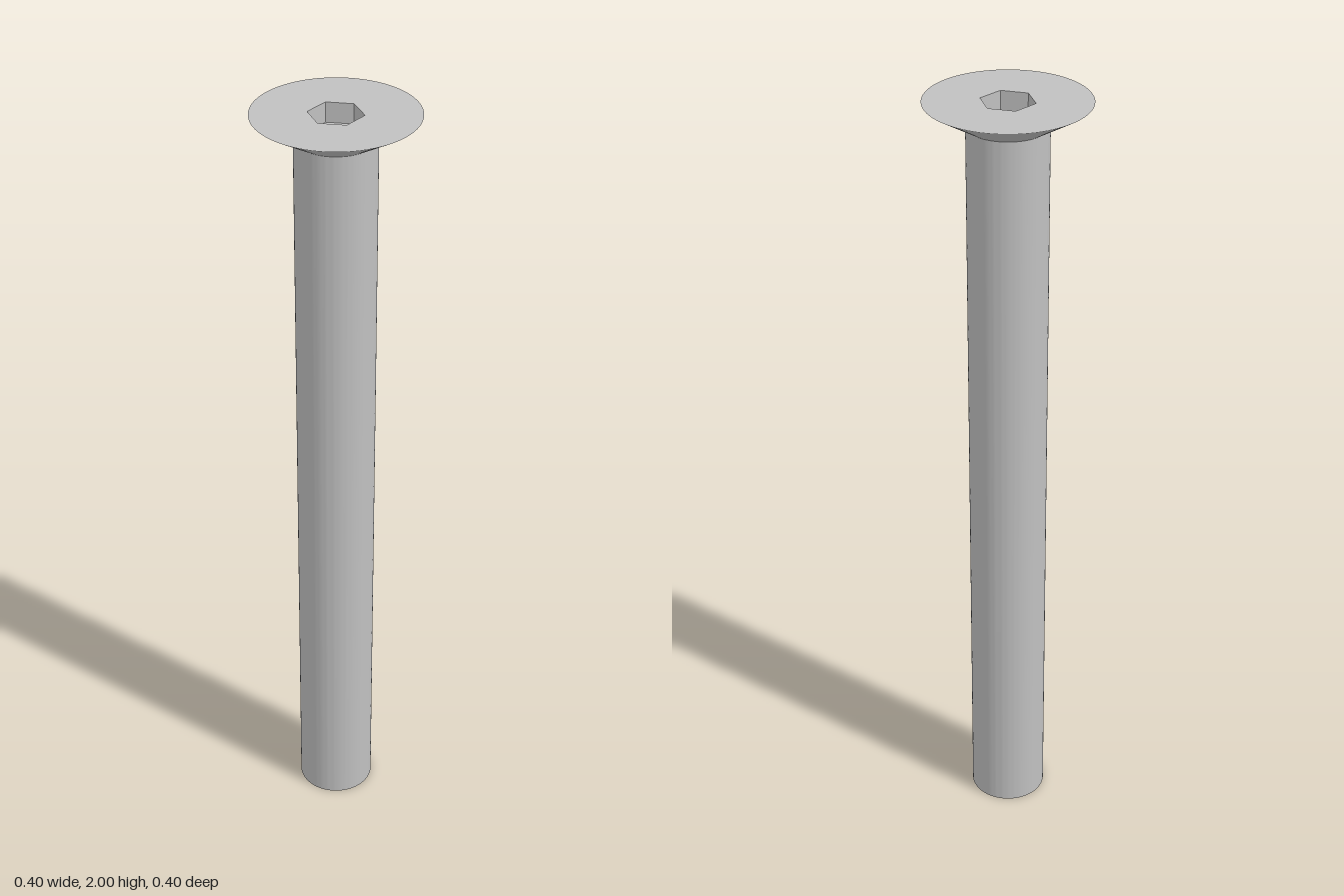
import * as THREE from 'three';
import { toCreasedNormals } from 'three/addons/utils/BufferGeometryUtils.js';

const HEIGHT = 2, HEAD_BASE = 1.94;
const SHAFT_R = 0.098, HEAD_R = 0.198;
const SOCKET_R = 0.066, SOCKET_DEPTH = 0.05;

export function createModel() {
  const group = new THREE.Group();
  group.name = 'countersunkBolt';
  const steel = new THREE.MeshStandardMaterial({ color: 0xc0c0c0 });
  steel.name = 'steel grey';

  const add = (name, geometry) => {
    const mesh = new THREE.Mesh(geometry, steel);
    mesh.name = name;
    group.add(mesh);
  };

  // Revolve [radius, y] pairs, keeping sharp edges
  const revolve = (profile, sides, start = 0) => toCreasedNormals(
    new THREE.LatheGeometry(profile.map(([r, y]) => new THREE.Vector2(r, y)), sides, start), 0.4);

  // Plain shaft with its flat end
  add('shaft', revolve([[0, 0], [SHAFT_R, 0], [SHAFT_R, HEAD_BASE]], 96));

  // Conical underside of the head
  add('headCone', revolve([[SHAFT_R, HEAD_BASE], [HEAD_R, HEIGHT]], 96));

  // Flat head face with a hexagonal opening
  const face = new THREE.Shape().absarc(0, 0, HEAD_R, 0, Math.PI * 2, false);
  const corners = Array.from({ length: 6 }, (_, i) => new THREE.Vector2(
    SOCKET_R * Math.cos(i * Math.PI / 3), SOCKET_R * Math.sin(i * Math.PI / 3)));
  face.holes.push(new THREE.Path(corners));
  add('headFace', new THREE.ShapeGeometry(face, 48).rotateX(-Math.PI / 2).translate(0, HEIGHT, 0));

  // Socket walls and floor, facing inward
  const floor = HEIGHT - SOCKET_DEPTH;
  add('hexSocket', revolve([[SOCKET_R, HEIGHT], [SOCKET_R, floor], [0, floor]], 6, Math.PI / 2));

  return group;
}
